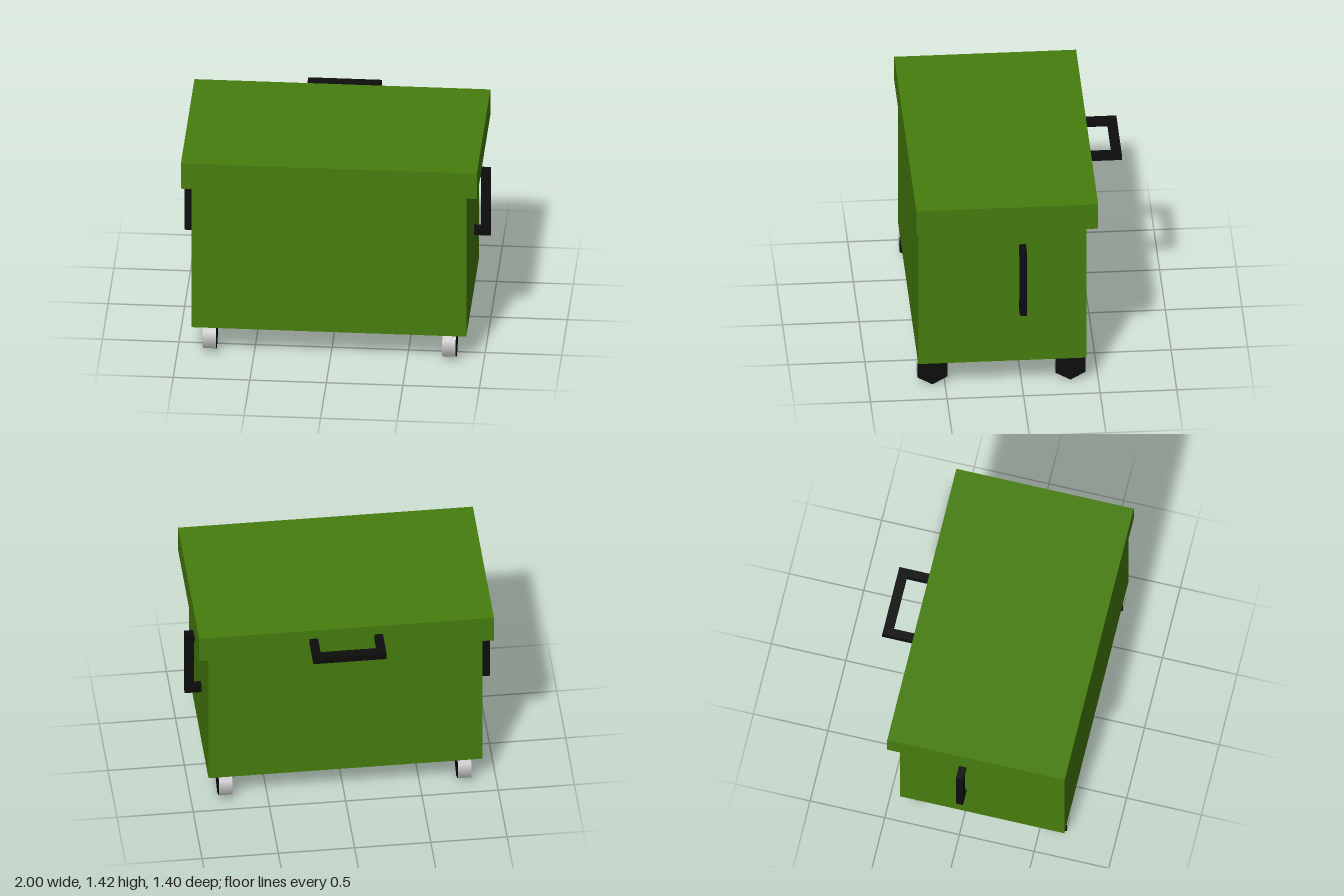
import * as THREE from 'three';

const green = new THREE.MeshStandardMaterial({ name: 'green', color: 0x467d0d });
const black = new THREE.MeshStandardMaterial({ name: 'black', color: 0x0d0d0d });
const lightGrey = new THREE.MeshStandardMaterial({ name: 'lightGrey', color: 0xcccccc });

// Box given by its extents on each axis
function box(name, material, [x0, x1], [y0, y1], [z0, z1]) {
  const mesh = new THREE.Mesh(new THREE.BoxGeometry(x1 - x0, y1 - y0, z1 - z0), material);
  mesh.name = name;
  mesh.position.set((x0 + x1) / 2, (y0 + y1) / 2, (z0 + z1) / 2);
  return mesh;
}

// Square-cornered U handle: feet at y = 0, grip at y = reach, centred in x and z
function handle(name, reach) {
  const half = 0.24, foot = 0.055, grip = 0.062, depth = 0.047;
  const u = new THREE.Shape([
    [-half, 0], [-half + foot, 0], [-half + foot, reach - grip], [half - foot, reach - grip],
    [half - foot, 0], [half, 0], [half, reach], [-half, reach],
  ].map(([x, y]) => new THREE.Vector2(x, y)));
  const geometry = new THREE.ExtrudeGeometry(u, { depth, bevelEnabled: false });
  geometry.translate(0, 0, -depth / 2);
  const mesh = new THREE.Mesh(geometry, black);
  mesh.name = name;
  return mesh;
}

export function createModel() {
  const model = new THREE.Group();
  model.name = 'wheeledBin';

  // Bin and overhanging lid
  model.add(box('body', green, [-0.905, 0.89], [0.21, 1.235], [-0.42, 0.68]));
  model.add(box('lid', green, [-0.973, 0.96], [1.235, 1.42], [-0.49, 0.698]));

  // Carrying handles on both ends
  const left = handle('leftHandle', 0.11);
  left.rotation.z = -Math.PI / 2;
  left.position.set(0.89, 0.855, 0);
  const right = handle('rightHandle', 0.095);
  right.rotation.z = Math.PI / 2;
  right.position.set(-0.905, 0.82, 0);

  // Lid handle at the back
  const back = handle('lidHandle', 0.208);
  back.rotation.x = -Math.PI / 2;
  back.position.set(-0.005, 1.33, -0.49);
  model.add(left, right, back);

  // Six-sided wheels with smooth treads and dark sides
  const wheelGeometry = new THREE.CylinderGeometry(0.113, 0.113, 0.088, 6, 1, false, Math.PI / 6);
  wheelGeometry.rotateZ(Math.PI / 2);
  for (const [x, xName] of [[0.777, 'Left'], [-0.79, 'Right']]) {
    for (const [z, y, zName] of [[0.582, 0.122, 'front'], [-0.32, 0.117, 'back']]) {
      const wheel = new THREE.Mesh(wheelGeometry, [lightGrey, black, black]);
      wheel.name = `${zName}${xName}Wheel`;
      wheel.position.set(x, y, z);
      model.add(wheel);
    }
  }
  return model;
}
